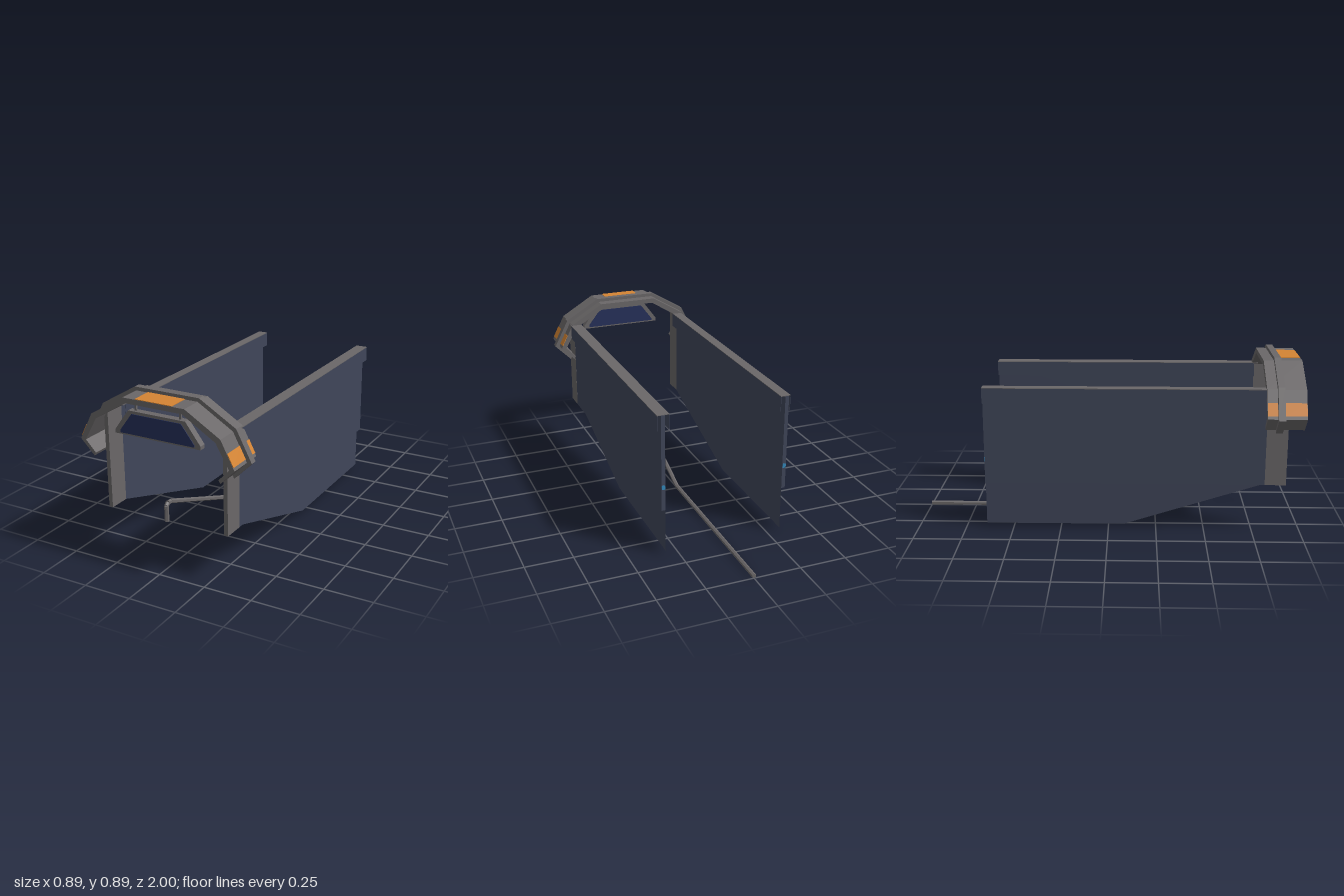
import * as THREE from 'three';

const mat = (name, color, side = THREE.FrontSide) => {
  const m = new THREE.MeshStandardMaterial({ color, side });
  m.name = name;
  return m;
};

export function createModel() {
  const group = new THREE.Group();
  const grey = mat('grey metal', 0x6a6768);
  const blueGrey = mat('blue grey panel', 0x404659, THREE.DoubleSide);
  const navy = mat('navy screen', 0x25305a);
  const orange = mat('orange marker', 0xd48433);
  const lightBlue = mat('light blue strip', 0x3388bb);

  const add = (name, geo, material, x = 0, y = 0, z = 0) => {
    const mesh = new THREE.Mesh(geo, material);
    mesh.name = name;
    mesh.position.set(x, y, z);
    group.add(mesh);
    return mesh;
  };
  const box = (name, material, x0, x1, y0, y1, z0, z1) =>
    add(name, new THREE.BoxGeometry(x1 - x0, y1 - y0, z1 - z0), material,
      (x0 + x1) / 2, (y0 + y1) / 2, (z0 + z1) / 2);
  const shapeOf = pts => new THREE.Shape(pts.map(p => new THREE.Vector2(...p)));
  const extrude = (name, pts, material, z0, z1) =>
    add(name, new THREE.ExtrudeGeometry(shapeOf(pts), { depth: z1 - z0, bevelEnabled: false }),
      material, 0, 0, z0);
  // mirror a half outline (top to end) into a full run from left to right
  const mirrored = half => [...half.map(([x, y]) => [-x, y]).reverse(), ...half];

  // Arch: wide shell with a raised flange
  const inner = [[0.153, 0.846], [0.325, 0.742], [0.392, 0.624], [0.337, 0.566]];
  const body = [[0.167, 0.872], [0.35, 0.762], [0.42, 0.625], [0.346, 0.55]];
  const flange = [[0.175, 0.89], [0.366, 0.777], [0.445, 0.624], [0.353, 0.533]];
  const band = outer => [...mirrored(outer), ...mirrored(inner).reverse()];
  extrude('archShell', band(body), grey, 0.8, 1);
  extrude('archFlange', band(flange), grey, 0.853, 0.888);

  // Orange markers on the arch
  box('topMarker', orange, -0.1, 0.1, 0.869, 0.875, 0.889, 0.999);
  for (const s of [-1, 1]) {
    for (const [z0, z1] of [[0.801, 0.852], [0.889, 0.999]]) {
      const x = s * 0.397;
      const marker = box('sideMarker', orange, x - 0.003, x + 0.003, 0.636, 0.704, z0, z1);
      marker.rotation.z = s * 0.47;
    }
  }

  // Hanging display with a screen on both faces
  extrude('displayFrame', [[-0.23, 0.682], [0.235, 0.682], [0.235, 0.7],
    [0.157, 0.805], [-0.153, 0.805], [-0.23, 0.7]], grey, 0.945, 0.98);
  const screen = [[-0.2, 0.69], [0.203, 0.69], [0.203, 0.702],
    [0.135, 0.791], [-0.133, 0.791], [-0.2, 0.702]];
  extrude('frontScreen', screen, navy, 0.98, 0.983);
  extrude('backScreen', screen, navy, 0.942, 0.945);
  for (const x of [-0.12, 0.123])
    box('displayHanger', grey, x - 0.005, x + 0.005, 0.8, 0.85, 0.957, 0.967);

  // Side walls: inner sheet, outer box, cap with hanging lips, end post
  const wallOutline = [[0.81, 0.25], [0.08, 0.02], [-0.642, 0.02], [-0.642, 0.758], [0.81, 0.758]];
  const walls = [
    { x0: -0.338, x1: -0.317, c0: -0.344, c1: -0.292, face: -0.317 },
    { x0: 0.315, x1: 0.336, c0: 0.294, c1: 0.357, face: 0.315 },
  ];
  for (const { x0, x1, c0, c1, face } of walls) {
    const sheet = add('wallInnerSheet',
      new THREE.ShapeGeometry(shapeOf(wallOutline.map(([z, y]) => [-z, y]))), blueGrey, face);
    sheet.rotation.y = Math.PI / 2;
    box('wallPanel', blueGrey, x0 + 0.0005, x1 - 0.0005, 0.25, 0.755, -0.642, 0.81);
    box('wallLightStrip', lightBlue, x0 + 0.002, x1 - 0.002, 0.365, 0.387, -0.645, 0.8);
    box('wallCap', grey, c0, c1, 0.757, 0.76, -0.645, 0.83);
    for (const x of [c0 + 0.001, c1 - 0.001])
      box('capLip', blueGrey, x - 0.001, x + 0.001, 0.68, 0.757, -0.645, 0.81);
    box('endPost', grey, x0, x1, 0.25, 0.755, 0.81, 0.92);
  }

  // Hooked ground rod along the centre line, as [y, z] points
  const path = [[0.25, 0.92], [0.33, 0.92], [0.342, 0.907], [0.341, 0.885], [0.0115, 0], [0.0115, -1]]
    .map(([y, z]) => new THREE.Vector3(0, y, z));
  for (let i = 1; i < path.length; i++) {
    const dir = path[i].clone().sub(path[i - 1]);
    const mid = path[i].clone().add(path[i - 1]).multiplyScalar(0.5);
    const geo = new THREE.CylinderGeometry(0.0115, 0.0115, dir.length(), 6).toNonIndexed();
    geo.computeVertexNormals();
    add('groundRod', geo, grey, ...mid.toArray())
      .quaternion.setFromUnitVectors(new THREE.Vector3(0, 1, 0), dir.normalize());
  }

  return group;
}
